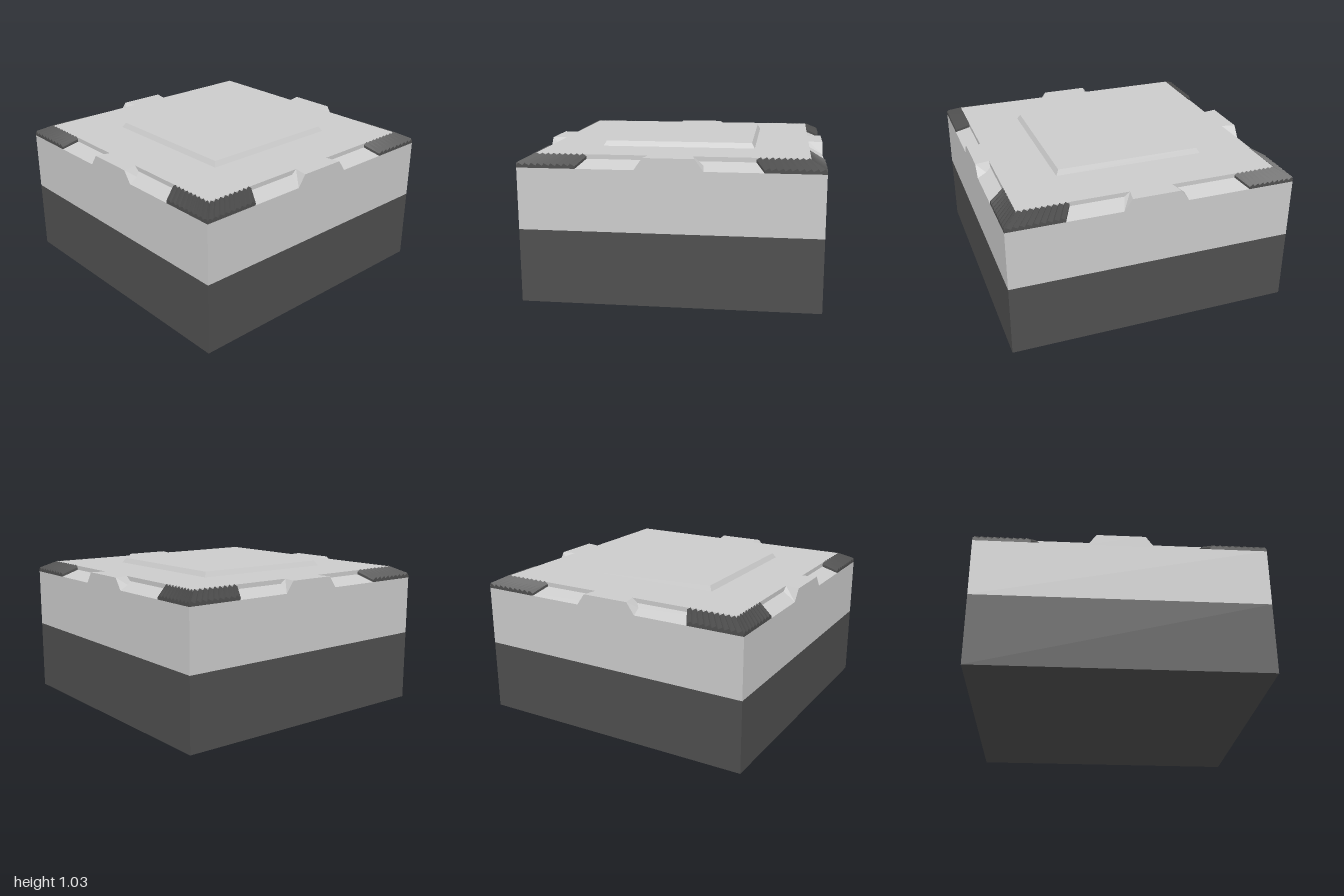
import * as THREE from 'three';

const grey = new THREE.MeshStandardMaterial({ color: 0xcccccc, flatShading: true });
const dark = new THREE.MeshStandardMaterial({ color: 0x4f4f4f, flatShading: true });

const LEDGE = 0.915, TOP = 0.995, INNER = 0.9;

function add(parent, name, geometry, material, y = 0) {
  const mesh = new THREE.Mesh(geometry, material);
  mesh.name = name;
  mesh.position.y = y;
  parent.add(mesh);
  return mesh;
}

// Solid through four-point cross-sections ordered by rising x, capped at both ends.
function loft(sections) {
  const pos = [];
  const quad = (a, b, c, d) => pos.push(...a, ...b, ...c, ...a, ...c, ...d);
  for (let i = 0; i + 1 < sections.length; i++) {
    const A = sections[i], B = sections[i + 1];
    for (let k = 0; k < 4; k++) {
      const n = (k + 1) % 4;
      quad(A[k], B[k], B[n], A[n]);
    }
  }
  quad(...sections[0]);
  quad(...[...sections[sections.length - 1]].reverse());
  const g = new THREE.BufferGeometry();
  g.setAttribute('position', new THREE.Float32BufferAttribute(pos, 3));
  g.computeVertexNormals();
  return g;
}

// Cross-section: outer bottom, outer top, inner top, inner bottom.
function section(xOut, xOutTop, xInTop, xIn, yOutTop, yInTop) {
  return [[xOut, LEDGE, 1], [xOutTop, yOutTop, 1], [xInTop, yInTop, INNER], [xIn, LEDGE, INNER]];
}

// Sawtooth grip running from the mitred corner along one edge.
function ribbedGrip(side, outerStart, innerStart) {
  const teeth = 9, list = [];
  const put = (t, h) => {
    const o = side * THREE.MathUtils.lerp(outerStart, 1, t);
    const i = side * THREE.MathUtils.lerp(innerStart, INNER, t);
    list.push(section(o, o, i, i, 0.943 + h, 0.995 + h));
  };
  put(0, -0.012);
  for (let k = 0; k < teeth; k++) {
    put((k + 0.7) / teeth, 0.005);
    put((k + 1) / teeth, -0.012);
  }
  return loft(side > 0 ? list : list.reverse());
}

// One edge, built facing +z.
function createEdge(index) {
  const edge = new THREE.Group();
  edge.name = 'edge' + index;
  add(edge, 'slopedLedge', loft([-1, 1].map(s =>
    section(s, s, s * INNER, s * INNER, LEDGE, 0.965))), grey);
  add(edge, 'centreBridge', loft([-1, 1].map(s =>
    section(s * 0.225, s * 0.168, s * 0.148, s * 0.25, TOP, TOP))), grey);
  for (const s of [-1, 1]) {
    const short = index === 1 && s > 0; // one grip is slightly shorter
    add(edge, s > 0 ? 'gripA' : 'gripB',
      ribbedGrip(s, short ? 0.67 : 0.61, short ? 0.605 : 0.555), dark);
  }
  edge.rotation.y = index * Math.PI / 2;
  return edge;
}

export function createModel() {
  const model = new THREE.Group();
  model.name = 'panelBlock';

  // Two-tone body and the inset top plate
  add(model, 'lowerBody', new THREE.BoxGeometry(2, 0.5, 2), dark, 0.25);
  add(model, 'upperBody', new THREE.BoxGeometry(2, LEDGE - 0.5, 2), grey, (LEDGE + 0.5) / 2);
  add(model, 'topPlate', new THREE.BoxGeometry(INNER * 2, TOP - 0.9, INNER * 2), grey, (TOP + 0.9) / 2);

  // Bevelled raised panel
  const panel = new THREE.CylinderGeometry(0.508 * Math.SQRT2, 0.528 * Math.SQRT2, 0.035, 4);
  panel.rotateY(Math.PI / 4);
  add(model, 'raisedPanel', panel, grey, TOP + 0.0175);

  // Four matching edges
  for (let i = 0; i < 4; i++) model.add(createEdge(i));
  return model;
}
